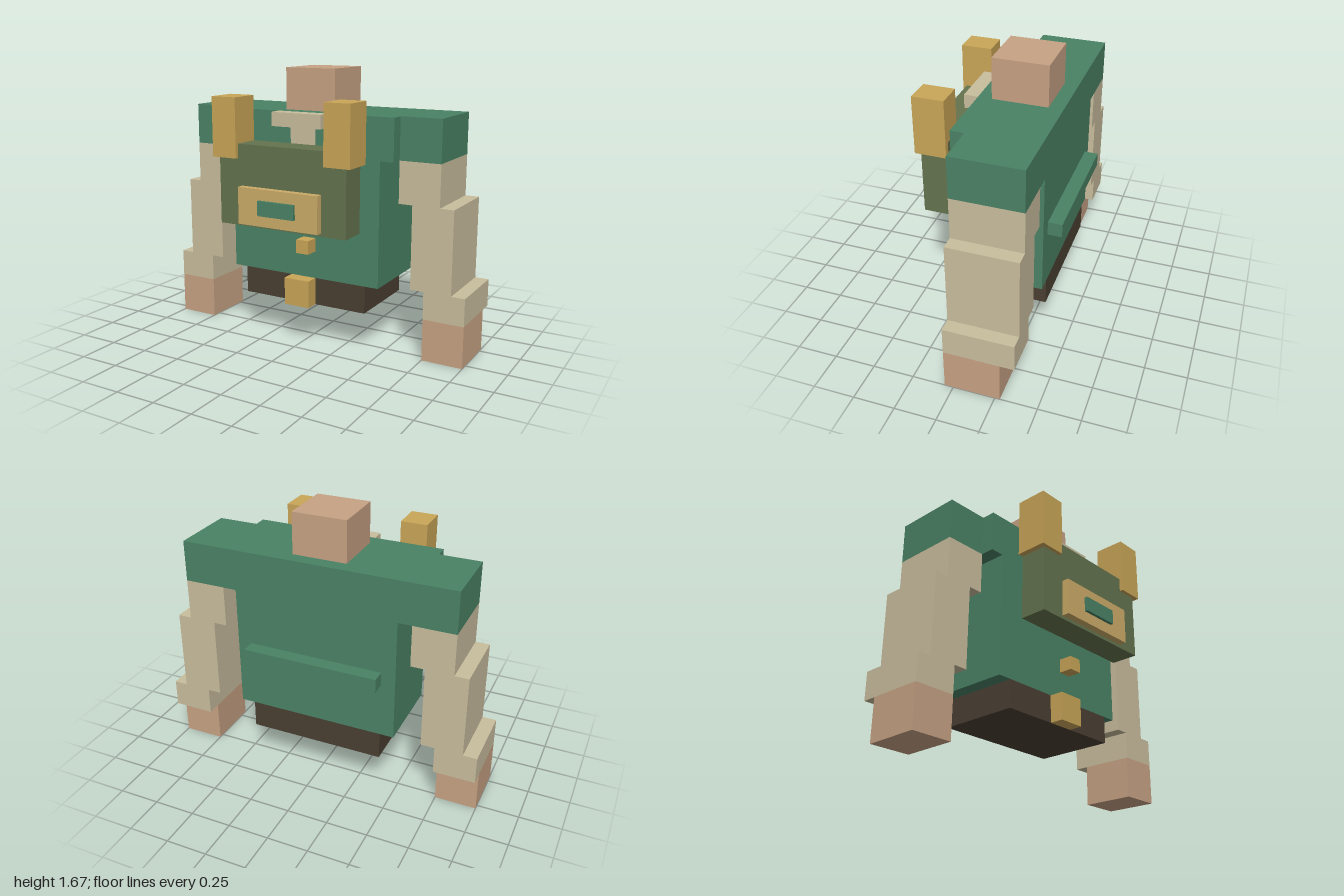
import * as THREE from 'three';

function material(name, color) {
  const m = new THREE.MeshStandardMaterial({ color });
  m.name = name;
  return m;
}

export function createModel() {
  const green = material('coat green', 0x4a8265);
  const olive = material('bag olive', 0x64734e);
  const gold = material('brass gold', 0xc9a557);
  const tan = material('plate tan', 0xcbab68);
  const cream = material('sleeve cream', 0xc8bd9d);
  const skin = material('skin', 0xc7a284);
  const brown = material('belt brown', 0x4a3f32);

  const model = new THREE.Group();
  model.name = 'blockFigure';

  // Box given by its min and max along each axis
  function box(name, mat, [x0, x1], [y0, y1], [z0, z1], parent = model) {
    const mesh = new THREE.Mesh(new THREE.BoxGeometry(x1 - x0, y1 - y0, z1 - z0), mat);
    mesh.position.set((x0 + x1) / 2, (y0 + y1) / 2, (z0 + z1) / 2);
    mesh.name = name;
    parent.add(mesh);
  }
  const wide = (half) => [-half, half];
  const bodyZ = [-0.365, 0.135];
  const armZ = [-0.365, 0.052];
  const handZ = [-0.28, 0.052];
  const trimZ = [0.135, 0.22];

  // Body and head
  box('hips', brown, wide(0.415), [0.253, 0.42], bodyZ);
  box('torso', green, wide(0.5), [0.42, 1.17], bodyZ);
  box('chest', green, wide(0.583), [1.17, 1.42], bodyZ);
  box('head', skin, wide(0.165), [1.42, 1.67], handZ);
  box('backBelt', green, wide(0.415), [0.753, 0.837], [-0.45, -0.365]);

  // Collar, buckle and coat buttons
  box('collar', cream, wide(0.165), [1.337, 1.42], trimZ);
  box('shirtFront', cream, wide(0.083), [1.17, 1.337], [0.135, 0.139]);
  box('buckle', gold, wide(0.083), [0.253, 0.42], trimZ);
  for (const y of [0.587, 0.837, 1.087]) {
    box('button', gold, [0, 0.083], [y, y + 0.083], trimZ);
  }

  // Chest bag with its plate and gem
  box('bag', olive, wide(0.42), [0.76, 1.245], [0.22, 0.387]);
  box('bagPlate', tan, wide(0.265), [0.78, 1.0], [0.387, 0.431]);
  box('plateGem', green, wide(0.12), [0.847, 0.935], [0.431, 0.45]);

  // Stepped arms and gold posts, mirrored
  for (const [side, s] of [['left', 1], ['right', -1]]) {
    const span = (a, b) => (s > 0 ? [a, b] : [-b, -a]);
    const arm = new THREE.Group();
    arm.name = side + 'Arm';
    model.add(arm);
    box('shoulder', green, span(0.583, 0.833), [1.17, 1.42], armZ, arm);
    box('upperSleeve', cream, span(0.583, 0.833), [0.92, 1.17], armZ, arm);
    box('middleSleeve', cream, span(0.667, 0.917), [0.42, 0.92], armZ, arm);
    box('cuff', cream, span(0.75, 1), [0.253, 0.42], armZ, arm);
    box('hand', skin, span(0.75, 1), [0, 0.253], handZ, arm);
    box(side + 'Post', gold, span(0.29, 0.453), [1.16, 1.513], [0.22, 0.41]);
  }
  return model;
}
